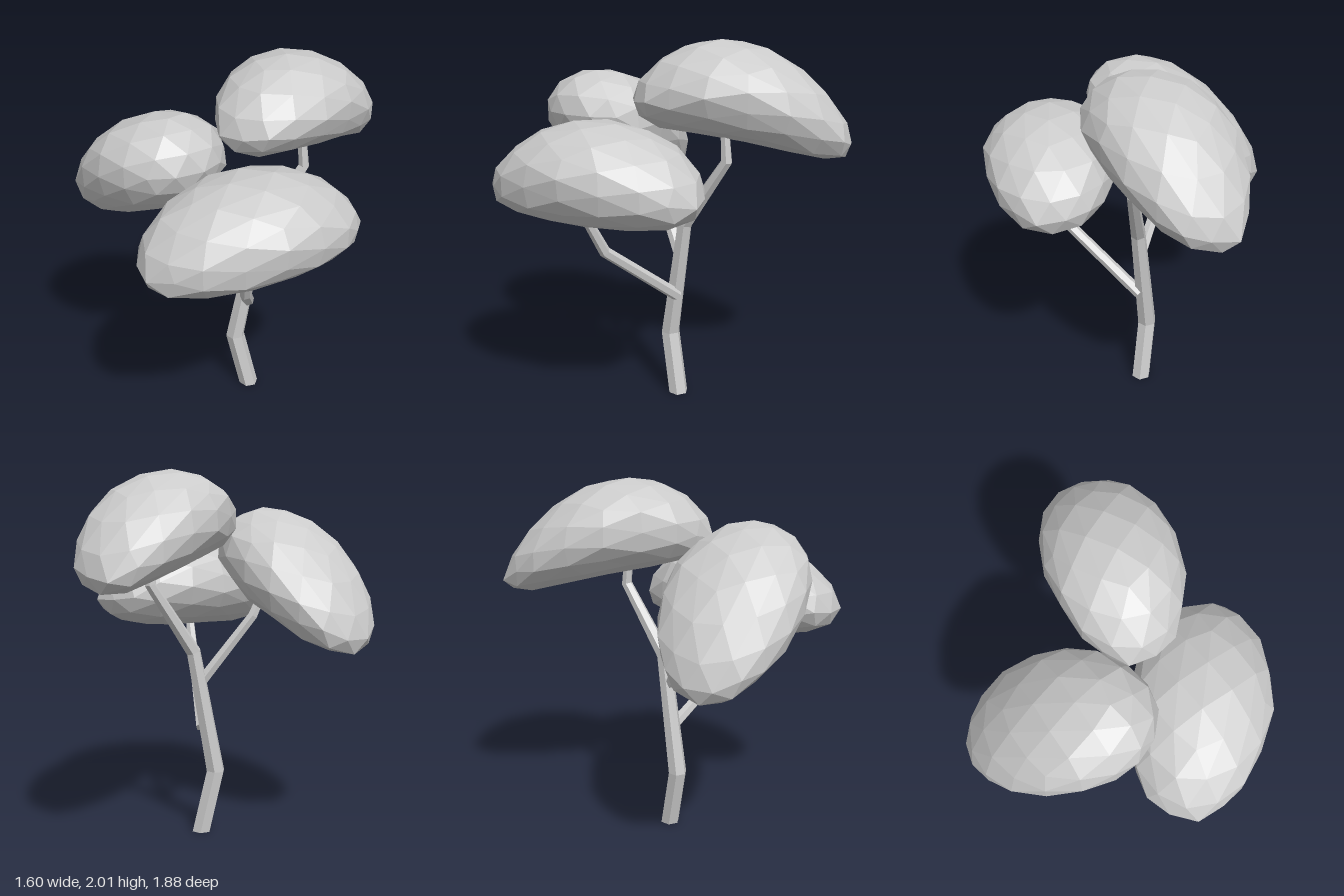
import * as THREE from 'three';

const material = new THREE.MeshStandardMaterial({ color: 0xcccccc, flatShading: true });
const SIDES = 6;

// Bent, tapering six-sided limb; each point is [x, y, z, radius]
function limb(name, points) {
  const up = new THREE.Vector3(0, 1, 0);
  const centres = points.map(p => new THREE.Vector3(p[0], p[1], p[2]));
  const positions = [], index = [];
  centres.forEach((c, j) => {
    const into = j > 0 ? c.clone().sub(centres[j - 1]).normalize() : new THREE.Vector3();
    const out = j < centres.length - 1 ? centres[j + 1].clone().sub(c).normalize() : new THREE.Vector3();
    const q = new THREE.Quaternion().setFromUnitVectors(up, into.add(out).normalize());
    if (c.y === 0) q.identity(); // flat cut on the ground
    for (let i = 0; i < SIDES; i++) {
      const a = (i / SIDES) * Math.PI * 2 + 0.2;
      const v = new THREE.Vector3(Math.cos(a), 0, Math.sin(a)).multiplyScalar(points[j][3]);
      positions.push(...v.applyQuaternion(q).add(c).toArray());
    }
  });
  const last = (centres.length - 1) * SIDES;
  for (let j = 0; j < last; j += SIDES) {
    for (let i = 0; i < SIDES; i++) {
      const a = j + i, b = j + (i + 1) % SIDES;
      index.push(a, a + SIDES, b, b, a + SIDES, b + SIDES);
    }
  }
  // End caps
  for (let i = 1; i < SIDES - 1; i++) {
    index.push(0, i, i + 1, last, last + i + 1, last + i);
  }
  const geometry = new THREE.BufferGeometry();
  geometry.setAttribute('position', new THREE.Float32BufferAttribute(positions, 3));
  geometry.setIndex(index);
  geometry.computeVertexNormals();
  const mesh = new THREE.Mesh(geometry, material);
  mesh.name = name;
  return mesh;
}

// Faceted, arched ellipsoid of leaves: length runs along (dx, dz), ends droop by bend, outer end by tilt
function canopy(name, { centre, dir, size, tilt, bend, seed }) {
  const geometry = new THREE.IcosahedronGeometry(1, 2);
  const pos = geometry.attributes.position;
  const v = new THREE.Vector3();
  for (let i = 0; i < pos.count; i++) {
    v.fromBufferAttribute(pos, i);
    // Gentle unevenness that depends only on the position
    const bump = Math.sin(v.x * 7 + seed) * Math.sin(v.y * 6 + seed * 2) * Math.sin(v.z * 8 + seed * 3);
    v.multiplyScalar(1.01 + 0.03 * bump);
    const s = v.x * size[0];
    pos.setXYZ(i, s, v.y * size[1] + tilt * s - bend * s * s, v.z * size[2]);
  }
  geometry.computeVertexNormals();
  const mesh = new THREE.Mesh(geometry, material);
  mesh.name = name;
  mesh.position.set(...centre);
  mesh.rotation.y = Math.atan2(-dir[1], dir[0]);
  return mesh;
}

export function createModel() {
  const tree = new THREE.Group();
  tree.name = 'tree';

  // Trunk and its two side branches
  tree.add(
    limb('trunk', [
      [0.09, 0, -0.04, 0.055], [0.02, 0.35, 0, 0.054], [0.12, 1.03, -0.07, 0.042],
      [0.28, 1.41, -0.27, 0.031], [0.27, 1.56, -0.26, 0.025],
    ]),
    limb('leftBranch', [
      [0.09, 0.6, -0.03, 0.034], [0.32, 0.95, 0.36, 0.031], [0.4, 1.2, 0.47, 0.025],
    ]),
    limb('rightBranch', [
      [0.09, 0.86, -0.04, 0.034], [-0.17, 1.23, 0.08, 0.029], [-0.22, 1.38, 0.13, 0.024],
    ]),
  );

  // One canopy at the end of each limb
  tree.add(
    canopy('backCanopy', {
      centre: [0.17, 1.75, -0.365], dir: [0.08, -1], size: [0.57, 0.25, 0.335], tilt: -0.2, bend: 0.5, seed: 1,
    }),
    canopy('leftCanopy', {
      centre: [0.37, 1.39, 0.395], dir: [-0.49, 0.87], size: [0.58, 0.26, 0.36], tilt: -0.02, bend: 0.3, seed: 2,
    }),
    canopy('rightCanopy', {
      centre: [-0.345, 1.48, 0.265], dir: [-0.86, -0.45], size: [0.49, 0.28, 0.37], tilt: -0.5, bend: 0.45, seed: 3,
    }),
  );
  return tree;
}
